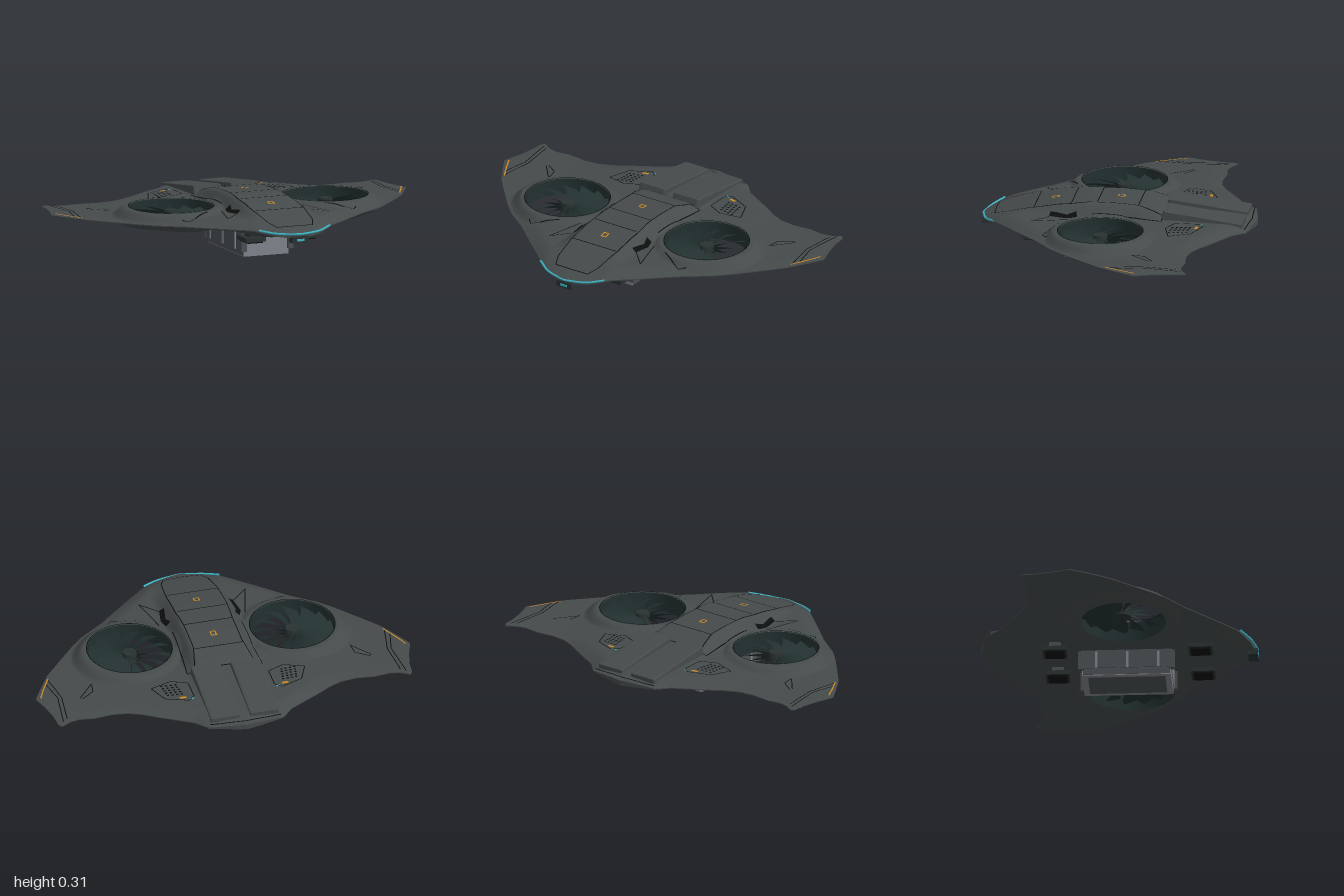
import * as THREE from 'three';
import { mergeGeometries, mergeVertices } from 'three/addons/utils/BufferGeometryUtils.js';

const mat = (name, color, side = THREE.FrontSide) => {
  const m = new THREE.MeshStandardMaterial({ color, side });
  m.name = name;
  return m;
};
const { smoothstep: ss, lerp } = THREE.MathUtils;

// Half outline of the hull (x, z), from tail to wing tip to nose
const outline = [[0, -.72], [.2, -.685], [.26, -.62], [.34, -.575], [.42, -.53], [.5, -.48], [.57, -.45], [.65, -.44],
  [.75, -.45], [.83, -.44], [.88, -.45], [.93, -.48], [.945, -.46], [.95, -.39], [.97, -.3], [1, -.21], [.95, -.12],
  [.89, -.02], [.8, .085], [.7, .2], [.63, .27], [.5, .365], [.35, .5], [.2, .63], [.12, .68], [.03, .705], [0, .71]];
const fan = { x: .435, z: .04, r: .22 };

const subdivide = (pts, step) => {
  const out = [pts[0]];
  for (let i = 1; i < pts.length; i++) {
    const [a, b] = [pts[i - 1], pts[i]];
    const n = Math.max(1, Math.ceil(Math.hypot(b[0] - a[0], b[1] - a[1]) / step));
    for (let k = 1; k <= n; k++) out.push([lerp(a[0], b[0], k / n), lerp(a[1], b[1], k / n)]);
  }
  return out;
};

// Piecewise linear lookup of a centre-line profile [z, y], z descending
const profile = (pts, z) => {
  if (z >= pts[0][0]) return pts[0][1];
  for (let i = 1; i < pts.length; i++) {
    const [a, b] = [pts[i - 1], pts[i]];
    if (z >= b[0]) return lerp(a[1], b[1], (a[0] - z) / (a[0] - b[0]));
  }
  return pts[pts.length - 1][1];
};
const spine = [[.71, .2], [.6, .225], [.45, .262], [.3, .29], [.15, .305], [0, .305], [-.12, .298], [-.21, .28],
  [-.25, .262], [-.4, .25], [-.66, .228], [-.72, .2]];
const keel = [[.71, .165], [.5, .15], [.3, .141], [0, .141], [-.12, .155], [-.3, .17], [-.72, .185]];

const edgeDistance = (x, z) => {
  let best = 9;
  for (let i = 1; i < outline.length; i++) {
    const [ax, az] = outline[i - 1], dx = outline[i][0] - ax, dz = outline[i][1] - az;
    const t = THREE.MathUtils.clamp(((x - ax) * dx + (z - az) * dz) / (dx * dx + dz * dz), 0, 1);
    best = Math.min(best, Math.hypot(x - ax - t * dx, z - az - t * dz));
  }
  return best;
};
const edgeFade = (x, z) => Math.sin(Math.min(1, edgeDistance(x, z) / .09) * Math.PI / 2);
const nacelle = (x, z) => 1 - ss(Math.hypot(x - fan.x, z - fan.z), .24, .32);

// Deck and belly heights of the hull
const topY = (X, z) => {
  const x = Math.abs(X), edge = .203 + .008 * (1 - ss(x, 0, .25)) - .02 * ss(z, .6, .71);
  const side = Math.max(.207 + .03 * (1 - ss(x, .2, .78)), .2 + .052 * nacelle(x, z));
  return lerp(edge, lerp(side, profile(spine, z), 1 - ss(x, .13, .21)), edgeFade(x, z));
};
const bottomY = (X, z) => {
  const x = Math.abs(X), edge = .198 - .014 * (1 - ss(x, 0, .25)) - .02 * ss(z, .6, .71);
  const side = .193 - .028 * nacelle(x, z) - .012 * (1 - ss(x, .3, .75));
  return lerp(edge, lerp(side, profile(keel, z), 1 - ss(x, .12, .3)), edgeFade(x, z));
};

// Surface from a rule f(i, j) -> [x, y, z]
const grid = (nu, nv, f, flip = false) => {
  const pos = [], idx = [];
  for (let i = 0; i <= nu; i++) for (let j = 0; j <= nv; j++) pos.push(...f(i, j));
  for (let i = 0; i < nu; i++) for (let j = 0; j < nv; j++) {
    const a = i * (nv + 1) + j, b = a + nv + 1;
    if (flip) idx.push(a, a + 1, b, b, a + 1, b + 1);
    else idx.push(a, b, a + 1, b, b + 1, a + 1);
  }
  const g = new THREE.BufferGeometry();
  g.setAttribute('position', new THREE.Float32BufferAttribute(pos, 3));
  g.setIndex(idx);
  return g;
};
const weld = (list) => {
  const g = mergeVertices(mergeGeometries(list), 1e-5);
  g.computeVertexNormals();
  return g;
};

export function createModel() {
  const model = new THREE.Group();
  const hullMat = mat('hull grey', 0x454a4a);
  const fanMat = mat('fan dark teal', 0x223030, THREE.DoubleSide);
  const lineMat = mat('panel black', 0x0c0e0e, THREE.DoubleSide);
  const orange = mat('marker orange', 0xd08a20, THREE.DoubleSide);
  const cyan = mat('light cyan', 0x3fb4c4, THREE.DoubleSide);
  const podMat = mat('pod light grey', 0x80848c);
  const podDark = mat('pod dark grey', 0x4b5053);
  const gearMat = mat('gear dark', 0x2a3131);
  const add = (name, geo, material, x = 0, y = 0, z = 0) => {
    const m = new THREE.Mesh(geo, material);
    m.name = name;
    m.position.set(x, y, z);
    model.add(m);
    return m;
  };
  const box = (name, w, h, d, material, x, y, z) => add(name, new THREE.BoxGeometry(w, h, d), material, x, y, z);

  // Hull skins: rings spreading from the fan opening to the outline, mirrored
  const rim = subdivide(outline, .02), loop = subdivide([...outline, outline[0]], .02), rings = 36;
  const hole = ([x, z]) => {
    const k = fan.r / Math.hypot(x - fan.x, z - fan.z);
    return [fan.x + (x - fan.x) * k, fan.z + (z - fan.z) * k];
  };
  const skin = (height, s, flip) => grid(loop.length - 1, rings, (i, j) => {
    const h = hole(loop[i]), x = lerp(h[0], loop[i][0], j / rings), z = lerp(h[1], loop[i][1], j / rings);
    return [s * x, height(x, z), z];
  }, flip);
  const wall = (path, s, flip) => grid(path.length - 1, 1, (i, j) => {
    const [x, z] = path[i];
    return [s * x, j ? topY(x, z) : bottomY(x, z), z];
  }, flip);
  add('hullDeck', weld([skin(topY, 1, false), skin(topY, -1, true)]), hullMat);
  add('hullBelly', weld([skin(bottomY, 1, true), skin(bottomY, -1, false)]), hullMat);
  add('hullEdge', weld([wall(rim, 1, true), wall(rim, -1, false)]), hullMat);
  add('fanShrouds', weld([wall(loop.map(hole), 1, false), wall(loop.map(hole), -1, true)]), fanMat);

  // Thin strips laid on the deck
  const strip = (pts, width, s = 1) => {
    const p = subdivide(pts, .012), n = p.length - 1;
    return grid(n, 2, (i, j) => {
      const a = p[Math.max(0, i - 1)], b = p[Math.min(n, i + 1)];
      const l = Math.hypot(b[0] - a[0], b[1] - a[1]) || 1, o = (j - 1) * width / 2;
      const x = p[i][0] - (b[1] - a[1]) / l * o, z = p[i][1] + (b[0] - a[0]) / l * o;
      return [s * x, topY(x, z) + .004, z];
    }, s > 0);
  };
  const strips = (name, paths, width, material) =>
    add(name, weld(paths.flatMap((p) => [strip(p, width, 1), strip(p, width, -1)])), material);

  const ring = Array.from({ length: 65 }, (_, i) => {
    const a = i / 64 * Math.PI * 2;
    return [fan.x + .222 * Math.cos(a), fan.z + .222 * Math.sin(a)];
  });
  strips('panelLines', [
    ring,
    [[0, .43], [.14, .43], [.125, .58], [.1, .64], [0, .645]],
    [[.14, .43], [.14, .24], [.13, .1], [.13, -.1], [.16, -.25]],
    ...[.235, .1, -.115].map((z) => [[0, z], [.13, z]]),
    [[0, -.245], [.2, -.245], [.19, -.1], [.185, .12]],
    [[.23, .22], [.285, .43], [.2, .34]], [[.33, .27], [.46, .34], [.49, .31]],
    [[.78, -.27], [.69, -.16], [.7, -.23], [.77, -.28]],
    [[.89, -.43], [.87, -.24], [.9, -.06]], [[.915, -.45], [.89, -.24], [.92, -.1]],
    [[0, -.69], [.19, -.675]],
    [[.41, -.31], [.365, -.42], [.25, -.47], [.215, -.44], [.215, -.32], [.3, -.28], [.41, -.31]],
  ], .005, lineMat);
  strips('sideVents', [[[.185, .2], [.2, .25], [.185, .34]]], .025, lineMat);

  // Rear grilles
  const dots = [];
  for (let i = 0; i < 5; i++) for (let j = 0; j < 4; j++) {
    const x = .265 + j * .024 + i * .003, z = -.405 + i * .022 + j * .003;
    dots.push([[x, z], [x + .012, z + .001]]);
  }
  strips('grilleDots', dots, .011, lineMat);

  // Painted markers and lights
  strips('orangeMarks', [[[.12, -.45], [.12, -.32]], [[.975, -.215], [.94, -.14], [.895, -.055]]], .007, orange);
  strips('ventMarks', [[[.255, -.44], [.29, -.435]]], .015, orange);
  strips('ventLights', [[[.22, -.46], [.24, -.455]]], .01, cyan);
  for (const z of [-.01, .335])
    add('hatchMark', weld([strip([[-.013, z - .016], [.013, z - .016], [.013, z + .016], [-.013, z + .016], [-.013, z - .019]], .007)]), orange);
  const nose = outline.slice(-5).map(([x, z]) => new THREE.Vector3(x, (topY(x, z) + bottomY(x, z)) / 2 + .008, z + .003));
  const nosePath = [...nose, ...nose.slice(0, -1).reverse().map((v) => new THREE.Vector3(-v.x, v.y, v.z))]
    .filter((v) => Math.abs(v.x) < .25);
  add('noseLight', new THREE.TubeGeometry(new THREE.CatmullRomCurve3(nosePath), 40, .006, 6), cyan);

  // Nose sensor
  box('noseSensor', .09, .035, .05, gearMat, 0, .157, .69);
  box('sensorLens', .04, .012, .006, cyan, 0, .155, .716);

  // Rear cowls, a side profile pushed out across x
  const cowl = new THREE.Shape([[-.66, .205], [-.66, .236], [-.4, .27], [-.255, .288], [-.24, .24], [-.26, .21]]
    .map(([z, y]) => new THREE.Vector2(z, y)));
  for (const s of [1, -1]) {
    const g = new THREE.ExtrudeGeometry(cowl, { depth: .13, bevelSize: .004, bevelThickness: .012, bevelSegments: 2 });
    g.rotateY(-Math.PI / 2).translate(.065 + s * .105, 0, 0);
    add('rearCowl', g, hullMat);
  }

  // Lift fans with pitched, swept blades
  const count = 13, step = Math.PI * 2 / count;
  for (const s of [1, -1]) {
    const blades = [];
    for (let k = 0; k < count; k++) blades.push(grid(8, 4, (i, j) => {
      const r = .035 + .18 * i / 8, v = j / 4;
      const a = k * step + .25 * (r / .22) ** 2 + v * step * (1 - .2 * r / .22);
      return [s * (fan.x + r * Math.cos(a)), .19 + .03 * v, fan.z + r * Math.sin(a)];
    }, s > 0));
    add('fanBlades', weld(blades), fanMat);
    add('fanHub', new THREE.CylinderGeometry(.036, .042, .05, 24), gearMat, s * fan.x, .208, fan.z);
  }

  // Cargo pod with stepped base, side panels and ribs
  box('podBody', .28, .1, .47, podMat, 0, .085, .04);
  box('podBase', .25, .04, .46, podMat, 0, .021, .04);
  box('podFoot', .2, .012, .4, podDark, 0, .006, .04);
  for (const s of [1, -1]) {
    box('podSidePanel', .008, .1, .46, podDark, s * .141, .085, .04);
    box('podBasePanel', .008, .034, .45, podDark, s * .124, .022, .04);
    for (const z of [.205, .045, -.115]) box('podRib', .012, .09, .014, podMat, s * .143, .08, z);
    for (const e of [1, -1]) box('podCorner', .03, .1, .03, podDark, s * .132, .08, .04 + e * .235);
  }

  // Landing pads on posts
  for (const s of [1, -1]) for (const z of [.425, -.328]) {
    box('landingPost', .05, .07, .06, z > 0 ? gearMat : podDark, s * .15, .165, z);
    box('landingPad', .11, .022, .125, gearMat, s * .15, .127, z);
    box('landingSole', .085, .012, .1, lineMat, s * .15, .114, z);
  }
  return model;
}
